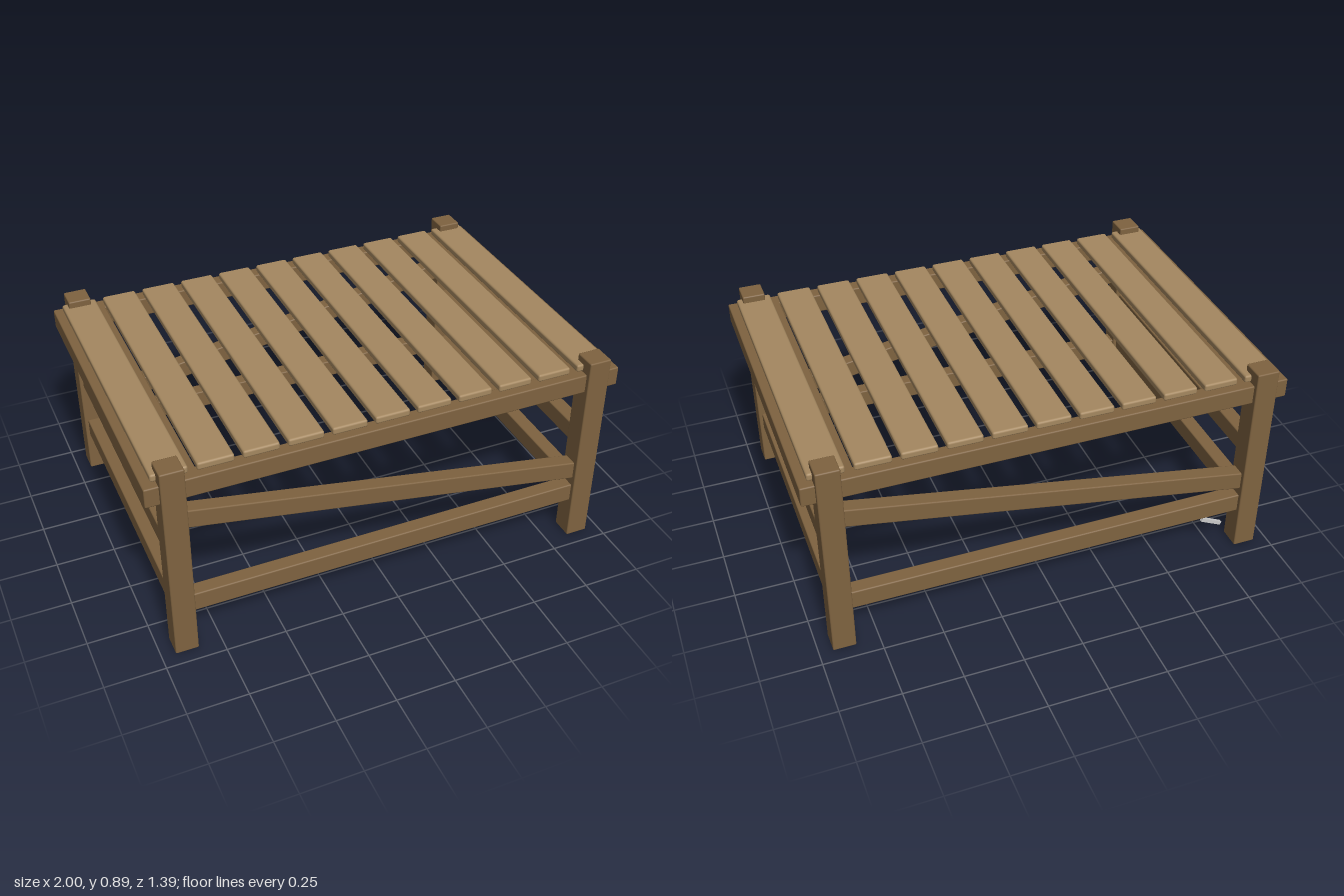
import * as THREE from 'three';
import { RoundedBoxGeometry } from 'three/addons/geometries/RoundedBoxGeometry.js';

const frameWood = new THREE.MeshStandardMaterial({ color: 0x7f6340 });
const slatWood = new THREE.MeshStandardMaterial({ color: 0xa58860 });
const grey = new THREE.MeshStandardMaterial({ color: 0xcccccc });

export function createModel() {
  const table = new THREE.Group();
  table.name = 'slattedTable';

  // Softly eased timber, given by size and centre
  function board(name, size, centre, material = frameWood, radius = 0.006) {
    const mesh = new THREE.Mesh(new RoundedBoxGeometry(...size, 2, radius), material);
    mesh.name = name;
    mesh.position.set(...centre);
    table.add(mesh);
    return mesh;
  }

  const legX = 0.895, legZ = 0.647, railZ = 0.643, railDepth = 0.064;
  const braceAngle = Math.atan2(0.3, 1.69);

  for (const s of [-1, 1]) {
    const end = s > 0 ? 'left' : 'right';
    const side = s > 0 ? 'front' : 'back';

    // Corner posts rising just above the top
    for (const t of [-1, 1]) {
      board(`${end}${t > 0 ? 'Front' : 'Back'}Leg`, [0.096, 0.893, 0.095], [s * legX, 0.4465, t * legZ]);
    }

    // Top frame: long rails and wide end boards
    board(`${side}TopRail`, [1.6, 0.084, railDepth], [0, 0.788, s * railZ]);
    board(`${end}EndBoard`, [0.215, 0.084, 1.35], [s * 0.8925, 0.788, 0]);

    // Long side: low stretcher and one diagonal brace
    board(`${side}Stretcher`, [1.75, 0.084, railDepth], [0, 0.225, s * railZ]);
    const brace = board(`${side}Brace`, [1.78, 0.08, railDepth], [0, 0.494, s * railZ]);
    brace.rotation.z = -s * braceAngle;

    // Short end: two stretchers between the legs
    for (const [label, y] of [['Lower', 0.225], ['Upper', 0.493]]) {
      board(`${end}${label}Stretcher`, [railDepth, 0.084, 1.25], [s * legX, y, 0]);
    }
  }

  // Eleven evenly spaced top slats
  for (let i = -5; i <= 5; i++) {
    board(`slat${i + 6}`, [0.145, 0.032, 1.29], [i * 0.1785, 0.848, 0], slatWood, 0.009);
  }

  // Small loose pin beside the back right leg
  const pin = new THREE.Mesh(new THREE.BoxGeometry(0.104, 0.016, 0.014), grey);
  pin.name = 'pin';
  pin.position.set(-0.752, 0.12, -0.635);
  pin.rotation.z = 0.45;
  table.add(pin);

  return table;
}
